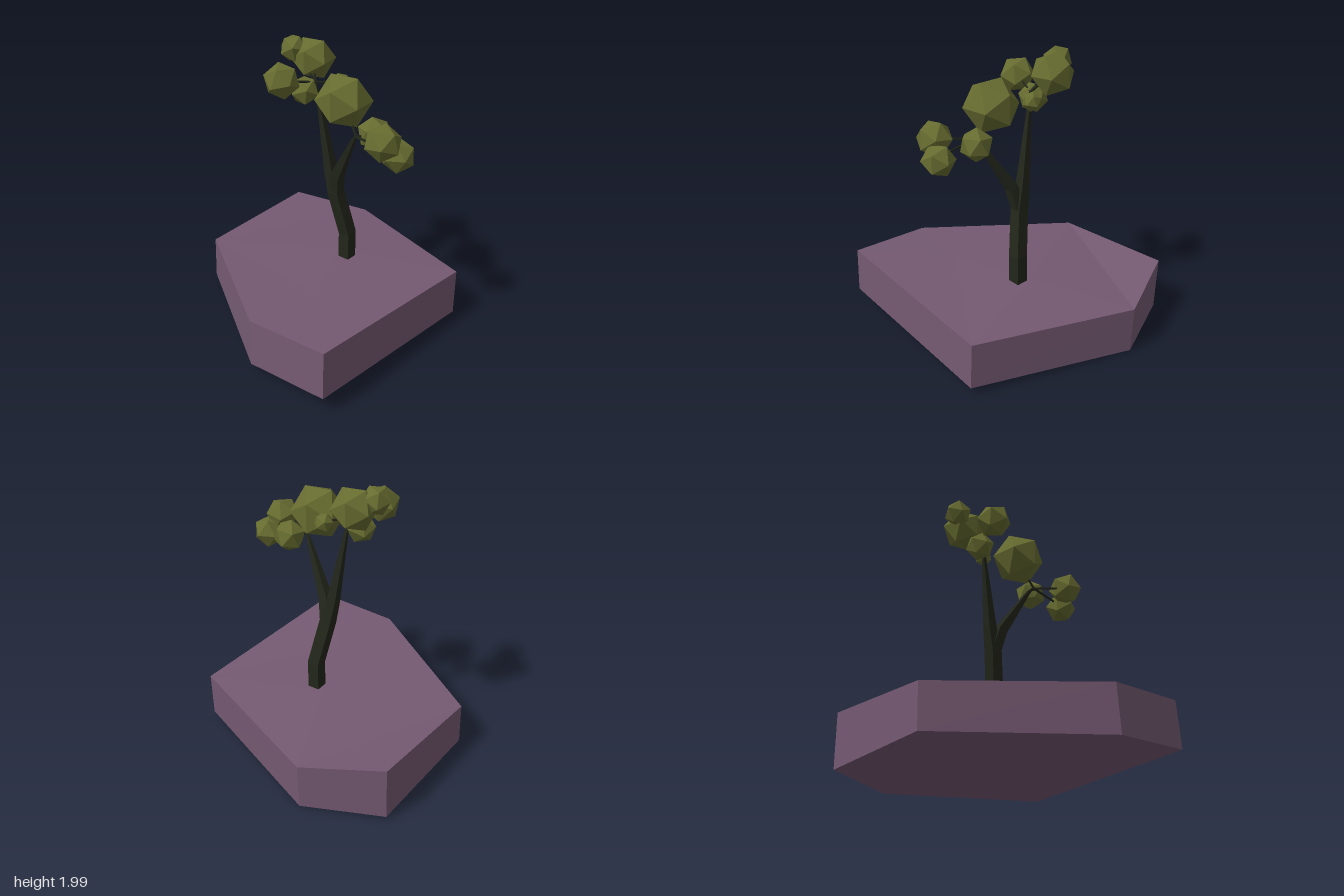
import * as THREE from 'three';

const mat = (color) => new THREE.MeshStandardMaterial({ color, flatShading: true, roughness: 0.9 });
const rockMat = mat(0x755a72), barkMat = mat(0x22261a), leafMat = mat(0x676c30);

function add(group, name, geometry, material) {
  const mesh = new THREE.Mesh(geometry, material);
  mesh.name = name;
  group.add(mesh);
  return mesh;
}

function build(points, faces) {
  const g = new THREE.BufferGeometry();
  g.setAttribute('position', new THREE.Float32BufferAttribute(points.flat(), 3));
  g.setIndex(faces.flat());
  const flat = g.toNonIndexed();
  flat.computeVertexNormals();
  return flat;
}

// Tapered four-sided limb; each station is [x, y, z, halfWidth]
function limb(stations) {
  const points = [], faces = [], n = stations.length;
  const path = stations.map(([x, y, z]) => new THREE.Vector3(x, y, z));
  stations.forEach((s, i) => {
    const dir = path[Math.min(i + 1, n - 1)].clone().sub(path[Math.max(i - 1, 0)]).normalize();
    const ref = Math.abs(dir.x) > 0.9 ? new THREE.Vector3(0, 0, 1) : new THREE.Vector3(1, 0, 0);
    const v = new THREE.Vector3().crossVectors(ref, dir).normalize();
    const u = new THREE.Vector3().crossVectors(dir, v);
    // corners run counter-clockwise seen from the tip
    for (const [a, b] of [[1, -1], [-1, -1], [-1, 1], [1, 1]]) {
      points.push(path[i].clone().addScaledVector(u, a * s[3]).addScaledVector(v, b * s[3]).toArray());
    }
  });
  for (let i = 0; i < n - 1; i++) {
    for (let k = 0; k < 4; k++) {
      const a = i * 4 + k, b = i * 4 + (k + 1) % 4;
      faces.push([a, b, b + 4], [a, b + 4, a + 4]);
    }
  }
  const e = (n - 1) * 4;
  faces.push([0, 2, 1], [0, 3, 2], [e, e + 1, e + 2], [e, e + 2, e + 3]);
  return build(points, faces);
}

// Irregular six-sided slab with two inner points on each cap
function rockSlab() {
  // [x, z, topY, bottomY] around the rim, then the inner points
  const outline = [
    [-0.25, -0.845, 0.36, 0.05], [0.685, -0.81, 0.415, 0.025], [0.905, -0.27, 0.34, 0.0],
    [0.51, 0.84, 0.385, 0.05], [-0.885, 0.76, 0.46, 0.125], [-0.895, 0.155, 0.425, 0.09],
    [-0.37, 0.25, 0.412, 0.03], [0.2, 0.03, 0.4, 0.025],
  ];
  const points = [
    ...outline.map(([x, z, t]) => [x, t, z]),
    ...outline.map(([x, z, , b]) => [x - 0.012, b, z + (z > 0 ? 0.006 : 0)]),
  ];
  const cap = [[0, 6, 7], [0, 7, 2], [0, 2, 1], [2, 7, 3], [3, 7, 6], [3, 6, 4], [4, 6, 5], [5, 6, 0]];
  const faces = [];
  for (const [a, b, c] of cap) faces.push([a, b, c], [a + 8, c + 8, b + 8]);
  for (let i = 0; i < 6; i++) {
    const j = (i + 1) % 6;
    faces.push([i, j, j + 8], [i, j + 8, i + 8]);
  }
  return build(points, faces);
}

export function createModel() {
  const model = new THREE.Group();
  model.name = 'treeOnRock';

  add(model, 'rockBase', rockSlab(), rockMat);

  // Trunk running on into the back branch, with the front branch forking off
  const tree = new THREE.Group();
  tree.name = 'trunkAndBranches';
  model.add(tree);
  add(tree, 'trunkAndBackBranch', limb([
    [0.163, 0.36, 0.115, 0.044], [0.163, 0.6, 0.117, 0.044], [0.108, 0.93, 0.052, 0.043],
    [0.098, 1.1, 0.012, 0.034], [0.07, 1.6, -0.07, 0.012], [0.06, 1.72, -0.09, 0.006],
  ]), barkMat);
  add(tree, 'frontBranch', limb([
    [0.108, 0.92, 0.056, 0.037], [0.072, 1.09, 0.095, 0.035],
    [-0.015, 1.43, 0.29, 0.012], [-0.035, 1.48, 0.33, 0.006],
  ]), barkMat);

  // Thin twigs from the branch tips out to the foliage
  const backTip = [0.06, 1.72, -0.09], frontTip = [-0.035, 1.47, 0.33];
  const twigs = [
    [backTip, [0.185, 1.72, 0.02]], [backTip, [-0.17, 1.77, -0.19]], [backTip, [0.15, 1.84, -0.2]],
    [backTip, [0.09, 1.9, -0.31]], [backTip, [0.02, 1.66, -0.155]],
    [frontTip, [-0.19, 1.53, 0.66]], [frontTip, [-0.02, 1.43, 0.64]], [frontTip, [0.07, 1.48, 0.4]],
    [frontTip, [0, 1.66, 0.2]],
  ];
  for (const [from, to] of twigs) add(tree, 'twig', limb([[...from, 0.006], [...to, 0.005]]), barkMat);

  // Faceted foliage balls: [x, y, z, radius]
  const foliage = new THREE.Group();
  foliage.name = 'foliage';
  model.add(foliage);
  const balls = [
    [-0.005, 1.68, 0.2, 0.192], [0.16, 1.845, -0.195, 0.154], [0.09, 1.905, -0.31, 0.1],
    [-0.17, 1.77, -0.19, 0.125], [0.02, 1.66, -0.155, 0.104], [0.187, 1.71, 0.02, 0.067],
    [0.07, 1.48, 0.395, 0.115], [-0.108, 1.525, 0.59, 0.125], [-0.01, 1.42, 0.64, 0.115],
  ];
  balls.forEach(([x, y, z, r], i) => {
    const ball = add(foliage, 'leafBall', new THREE.IcosahedronGeometry(r, 0), leafMat);
    ball.position.set(x, y, z);
    if (i === 0) ball.rotation.y = Math.PI / 2 + 0.1;
    else ball.rotation.set(i * 0.7, i * 1.1, i * 0.4);
  });

  return model;
}
